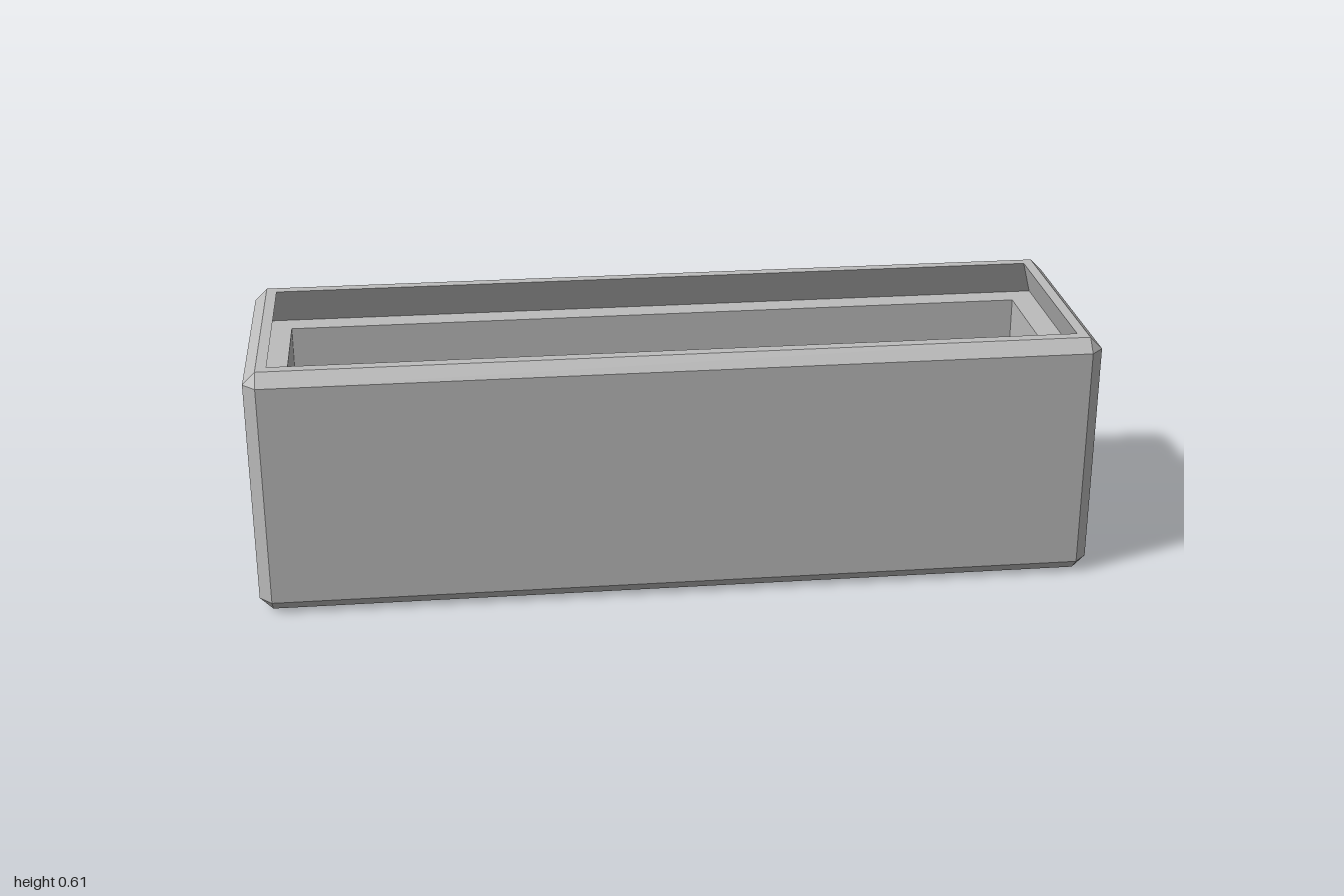
import * as THREE from 'three';

// Eight-point rectangle outline at height y; c cuts the corners.
function ring([y, hx, hz, c]) {
  return [
    [-hx + c, hz], [hx - c, hz], [hx, hz - c], [hx, -hz + c],
    [hx - c, -hz], [-hx + c, -hz], [-hx, -hz + c], [-hx, hz - c],
  ].map(([x, z]) => new THREE.Vector3(x, y, z));
}

// Joins the rings in order and closes the first and last with flat caps.
function loft(sections) {
  const rings = sections.map(ring);
  const pos = [];
  const tri = (a, b, c) => {
    if (new THREE.Triangle(a, b, c).getArea() < 1e-8) return;
    for (const p of [a, b, c]) pos.push(p.x, p.y, p.z);
  };
  for (let k = 0; k < rings.length - 1; k++) {
    const low = rings[k], up = rings[k + 1];
    for (let i = 0; i < 8; i++) {
      const j = (i + 1) % 8;
      tri(low[i], low[j], up[j]);
      tri(low[i], up[j], up[i]);
    }
  }
  const first = rings[0], last = rings[rings.length - 1];
  for (let i = 1; i < 7; i++) {
    tri(first[0], first[i + 1], first[i]);
    tri(last[0], last[i], last[i + 1]);
  }
  const geo = new THREE.BufferGeometry();
  geo.setAttribute('position', new THREE.Float32BufferAttribute(pos, 3));
  geo.computeVertexNormals();
  return geo;
}

export function createModel() {
  const group = new THREE.Group();
  group.name = 'openBox';
  const grey = new THREE.MeshStandardMaterial({ color: 0xbcbcbc });
  grey.name = 'plainGrey';

  // Chamfered case with an undercut rim, a ledge and a deep cavity
  const box = new THREE.Mesh(loft([
    [0, 0.97, 0.273, 0],
    [0.03, 1, 0.303, 0.03],
    [0.576, 1, 0.303, 0.03],
    [0.606, 0.97, 0.273, 0],
    [0.606, 0.945, 0.246, 0],
    [0.52, 0.972, 0.273, 0],
    [0.52, 0.912, 0.213, 0],
    [0.09, 0.912, 0.213, 0],
  ]), grey);
  box.name = 'case';
  group.add(box);

  // Half-round cradle block at each end of the cavity
  const top = 0.28, r = 0.155, w = 0.215;
  const shape = new THREE.Shape();
  shape.moveTo(-w, 0.085);
  shape.lineTo(w, 0.085);
  shape.lineTo(w, top);
  shape.lineTo(r, top);
  shape.absarc(0, top, r, 0, -Math.PI, true);
  shape.lineTo(-w, top);
  const cradleGeo = new THREE.ExtrudeGeometry(shape, { depth: 0.125, bevelEnabled: false, curveSegments: 24 });
  cradleGeo.translate(0, 0, -0.0625).rotateY(Math.PI / 2);
  for (const side of [-1, 1]) {
    const cradle = new THREE.Mesh(cradleGeo, grey);
    cradle.name = side > 0 ? 'leftCradle' : 'rightCradle';
    cradle.position.x = side * 0.8535;
    group.add(cradle);
  }
  return group;
}
